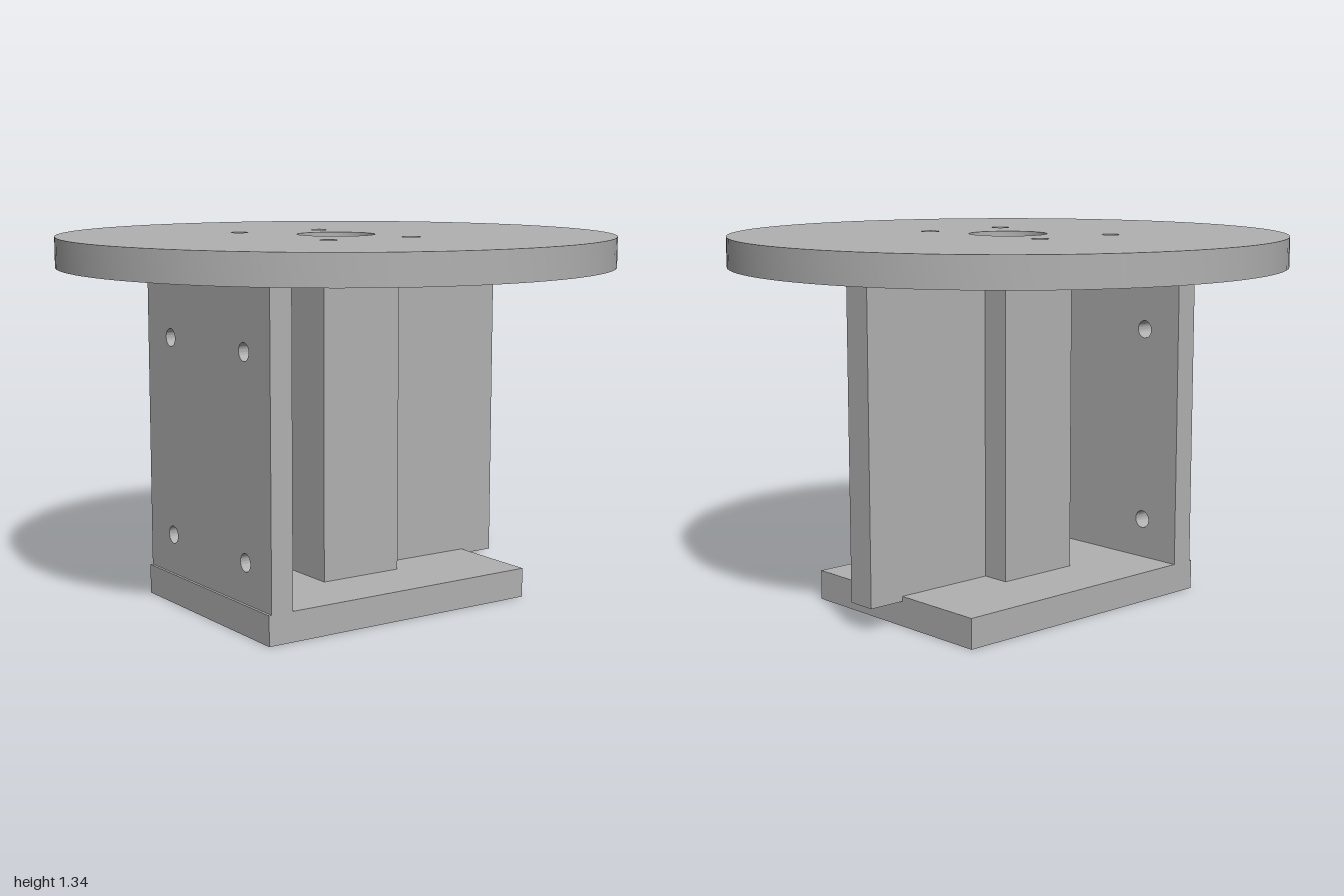
import * as THREE from 'three';
import { toCreasedNormals } from 'three/addons/utils/BufferGeometryUtils.js';

const grey = new THREE.MeshStandardMaterial({ color: 0xb1b1b1 });
grey.name = 'plain grey';

// Rectangle outline between two corners
function rectangle(x0, y0, x1, y1) {
  return new THREE.Shape([[x0, y0], [x1, y0], [x1, y1], [x0, y1]].map(p => new THREE.Vector2(...p)));
}

// Plate with round holes given as [x, y, radius], extruded along z
function plate(shape, holes, depth) {
  for (const [x, y, r] of holes) {
    shape.holes.push(new THREE.Path().absarc(x, y, r, 0, Math.PI * 2, true));
  }
  const geometry = new THREE.ExtrudeGeometry(shape, { depth, bevelEnabled: false, curveSegments: 48 });
  return toCreasedNormals(geometry, 0.6);
}

export function createModel() {
  const group = new THREE.Group();
  const add = (name, geometry, x = 0, y = 0, z = 0) => {
    const mesh = new THREE.Mesh(geometry, grey);
    mesh.name = name;
    mesh.position.set(x, y, z);
    group.add(mesh);
  };
  const thickness = 0.108, underside = 1.229, bolt = 0.032;

  // Round top with a centre bore and four bolt holes
  const disc = new THREE.Shape().absarc(0, 0, 1, 0, Math.PI * 2, false);
  const topHoles = [[0, 0, 0.14]];
  for (const x of [-0.23, 0.12]) for (const z of [-0.29, 0.29]) topHoles.push([x, z, bolt]);
  add('roundTop', plate(disc, topHoles, thickness).rotateX(-Math.PI / 2), 0, underside, 0);

  // Base plate with a centre bore and two bolt holes
  const baseHoles = [[0, 0, 0.097], [-0.25, 0, 0.03], [0.25, 0, 0.03]];
  add('basePlate', plate(rectangle(-0.555, -0.415, 0.552, 0.415), baseHoles, thickness).rotateX(-Math.PI / 2));

  // Upright side wall with four bolt holes
  const wallHoles = [];
  for (const z of [-0.25, 0.25]) for (const y of [0.253, 0.975]) wallHoles.push([z, y, bolt]);
  add('sideWall', plate(rectangle(-0.415, thickness, 0.415, underside), wallHoles, 0.085).rotateY(Math.PI / 2), -0.545);

  // Square centre post
  const postHeight = underside - thickness;
  add('centrePost', new THREE.BoxGeometry(0.325, postHeight, 0.325), 0, thickness + postHeight / 2, 0);

  // Fin running out from the post, reaching slightly below the base surface
  const finHeight = underside - 0.09;
  add('supportFin', new THREE.BoxGeometry(0.53, finHeight, 0.11), 0.425, 0.09 + finHeight / 2, 0);

  return group;
}
